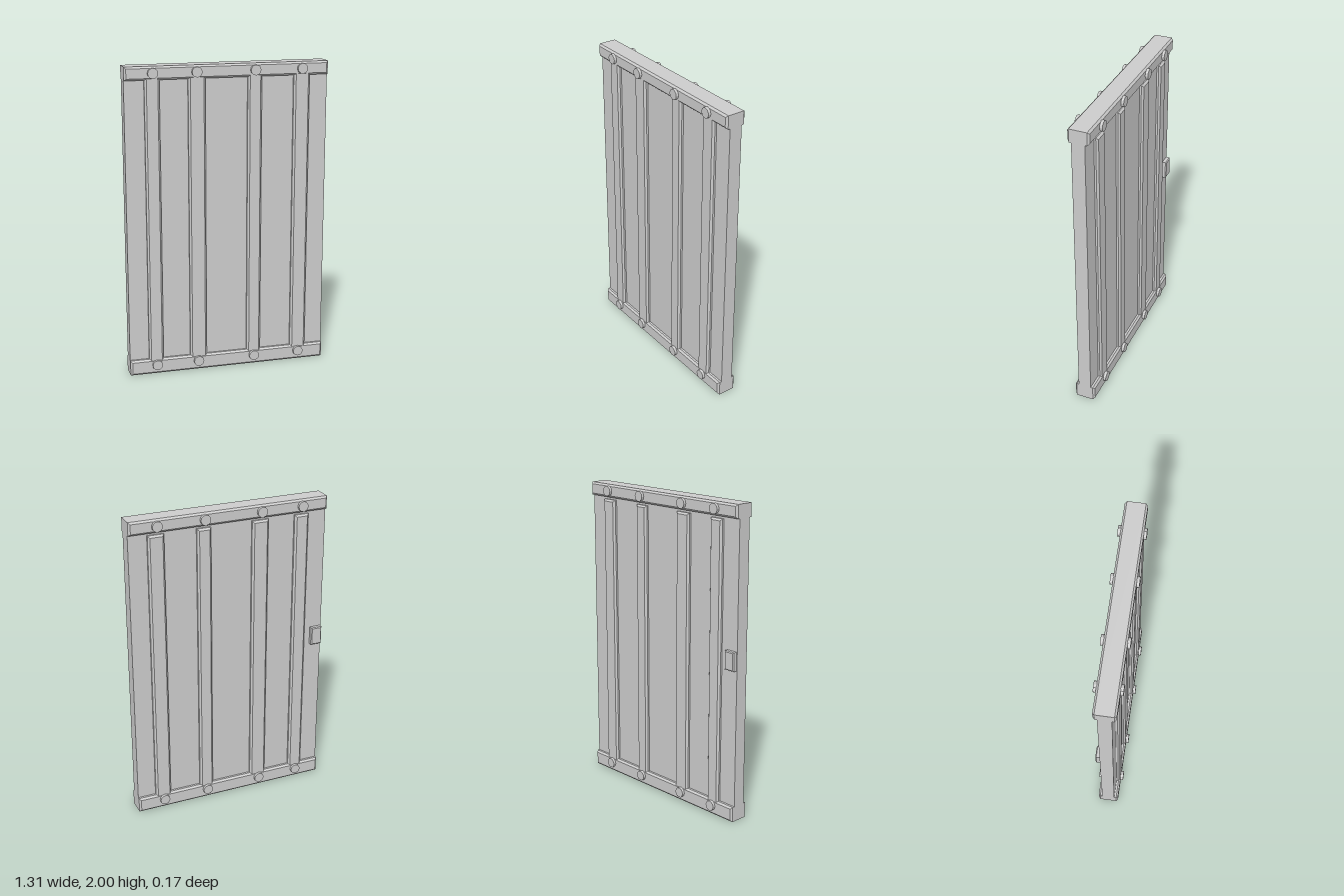
import * as THREE from 'three';

const W = 1.31, D = 0.136, C = 0.012;
const material = new THREE.MeshStandardMaterial({ color: 0xcccccc, flatShading: true });

// Box given by its limits, with chamfered edges around its front and back faces
function chamferBox(name, x0, x1, y0, y1, z0, z1, c = C) {
  const shape = new THREE.Shape([
    new THREE.Vector2(x0 + c, y0 + c), new THREE.Vector2(x1 - c, y0 + c),
    new THREE.Vector2(x1 - c, y1 - c), new THREE.Vector2(x0 + c, y1 - c),
  ]);
  const geometry = new THREE.ExtrudeGeometry(shape, {
    depth: z1 - z0 - 2 * c, bevelEnabled: true, bevelSize: c, bevelThickness: c, bevelSegments: 1,
  });
  geometry.translate(0, 0, z0 + c);
  const mesh = new THREE.Mesh(geometry, material);
  mesh.name = name;
  return mesh;
}

export function createModel() {
  const model = new THREE.Group();
  model.name = 'ribbedPanel';

  // Flat sheet between the rails
  const sheet = new THREE.Mesh(new THREE.BoxGeometry(W, 1.88, 0.084), material);
  sheet.name = 'sheet';
  sheet.position.y = 1;
  model.add(sheet);

  // Top and bottom rails
  model.add(chamferBox('topRail', -W / 2, W / 2, 1.915, 2, -D / 2, D / 2));
  model.add(chamferBox('bottomRail', -W / 2, W / 2, 0, 0.1, -D / 2, D / 2));

  // Upright ribs on both faces: [left edge, right edge, bolt centre]
  const ribs = [
    [-0.53, -0.435, -0.48], [-0.255, -0.145, -0.203],
    [0.128, 0.22, 0.173], [0.43, 0.535, 0.48],
  ];
  const boltGeometry = new THREE.CylinderGeometry(0.033, 0.033, 0.03, 12).rotateX(Math.PI / 2);
  for (const [x0, x1, boltX] of ribs) {
    // Front ribs run into both rails, back ribs stop just under the top rail
    model.add(chamferBox('frontRib', x0, x1, 0.07, 1.94, 0.02, 0.066));
    model.add(chamferBox('backRib', x0, x1, 0.07, 1.9, -0.066, -0.02));
    // Bolt heads on the rails
    for (const y of [0.062, 1.958]) {
      for (const side of [1, -1]) {
        const bolt = new THREE.Mesh(boltGeometry, material);
        bolt.name = 'bolt';
        bolt.position.set(boltX, y, side * 0.07);
        model.add(bolt);
      }
    }
  }

  // Small latch block on the back
  model.add(chamferBox('latch', -0.65, -0.575, 0.99, 1.11, -0.07, -0.03, 0.006));
  return model;
}
